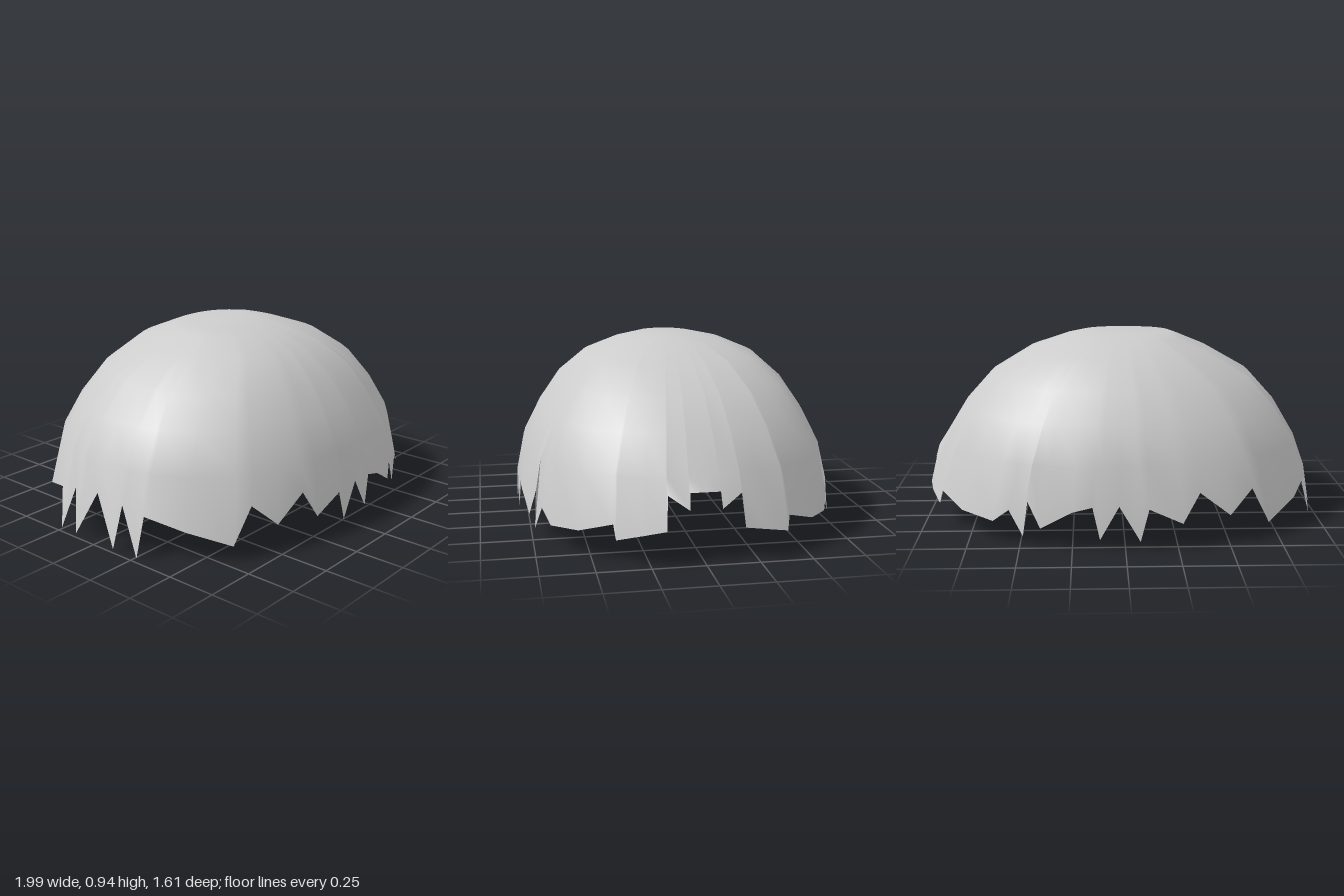
import * as THREE from 'three';

// Half-axes of the dome at each height: [y, left x, right x, z]
const LEVELS = [
  [0.93, 0.25, 0.21, 0.16], [0.905, 0.31, 0.30, 0.285], [0.84, 0.46, 0.485, 0.44],
  [0.72, 0.67, 0.68, 0.575], [0.57, 0.806, 0.815, 0.675], [0.4, 0.907, 0.92, 0.76],
  [0.33, 0.94, 0.965, 0.775], [0.2, 0.977, 1.0, 0.8], [0.0, 1.005, 1.03, 0.805],
];
const POWER = 2.3; // roundness of the plan outline

// Jagged hem from the +x end round the front to the -x end; the back mirrors it
const HEM_RIGHT = [[0, 0.335], [0.07, 0.335], [0.075, 0.26], [0.17, 0.325], [0.18, 0.17], [0.28, 0.15], [0.4, 0.12], [0.41, 0.19]]; // [z, y]
const HEM_FRONT = [[0.79, 0.135], [0.63, 0.115], [0.55, 0.18], [0.483, 0.06], [0.485, 0.24],
  [0.4, 0.105], [0.25, 0.19], [0.155, 0.215], [0.12, 0.06], [0.03, 0.22], [-0.07, 0.05], [-0.11, 0.205],
  [-0.27, 0.13], [-0.35, 0.27], [-0.5, 0.15], [-0.61, 0.26], [-0.7, 0.08], [-0.85, 0.155]]; // [x, y]
const HEM_LEFT = [[0.28, 0.21], [0.26, 0.005], [0.16, 0.24], [0.13, 0.02], [0, 0.26]]; // [z, y]

function axesAt(y) {
  let i = 0;
  while (i < LEVELS.length - 2 && y < LEVELS[i + 1][0]) i++;
  const p = LEVELS[i], q = LEVELS[i + 1];
  const k = (p[0] - y) / (p[0] - q[0]);
  return [1, 2, 3].map((j) => p[j] + (q[j] - p[j]) * k);
}

function domePoint(t, y) {
  const [left, right, depth] = axesAt(y);
  const c = Math.cos(t), s = Math.sin(t);
  return [
    (c < 0 ? -left : right) * Math.abs(c) ** (2 / POWER),
    y,
    Math.sign(s) * depth * Math.abs(s) ** (2 / POWER),
  ];
}

// Hem as a closed list of [angle, y]
function hemLoop() {
  const fromZ = ([z, y]) => Math.asin(Math.min(1, (z / axesAt(y)[2]) ** (POWER / 2)));
  const fromX = ([x, y]) => {
    const [left, right] = axesAt(y);
    return Math.acos(Math.sign(x) * (Math.abs(x) / (x < 0 ? left : right)) ** (POWER / 2));
  };
  const half = [
    ...HEM_RIGHT.map((p) => [fromZ(p), p[1]]),
    ...HEM_FRONT.map((p) => [fromX(p), p[1]]),
    ...HEM_LEFT.map((p) => [Math.PI - fromZ(p), p[1]]),
  ];
  // keep the columns in order
  for (let i = 1; i < half.length; i++) half[i][0] = Math.max(half[i][0], half[i - 1][0] + 0.003);
  half[half.length - 1][0] = Math.PI;
  const back = half.slice(1, -1).reverse().map(([t, y]) => [2 * Math.PI - t, y]);
  return [...half, ...back];
}

function domeGeometry() {
  const hem = hemLoop(), n = hem.length;
  const rings = LEVELS.map((l) => l[0]).filter((y) => y >= 0.4);
  const positions = [0.1, 0.945, 0]; // crown
  for (const y of rings) for (const [t] of hem) positions.push(...domePoint(t, y));
  for (const [t, y] of hem) positions.push(...domePoint(t, y));

  const index = [];
  for (let i = 0; i < n; i++) {
    const j = (i + 1) % n;
    index.push(0, 1 + j, 1 + i);
    for (let r = 0; r < rings.length; r++) {
      const a = 1 + r * n + i, b = 1 + r * n + j;
      index.push(a, b, a + n, b, b + n, a + n);
    }
  }
  const geometry = new THREE.BufferGeometry();
  geometry.setAttribute('position', new THREE.Float32BufferAttribute(positions, 3));
  geometry.setIndex(index);
  geometry.computeVertexNormals();
  return geometry;
}

export function createModel() {
  const group = new THREE.Group();
  group.name = 'brokenShell';
  const material = new THREE.MeshStandardMaterial({ color: 0xcccccc, side: THREE.DoubleSide });
  const shell = new THREE.Mesh(domeGeometry(), material);
  shell.name = 'jaggedDome';
  group.add(shell);
  return group;
}
